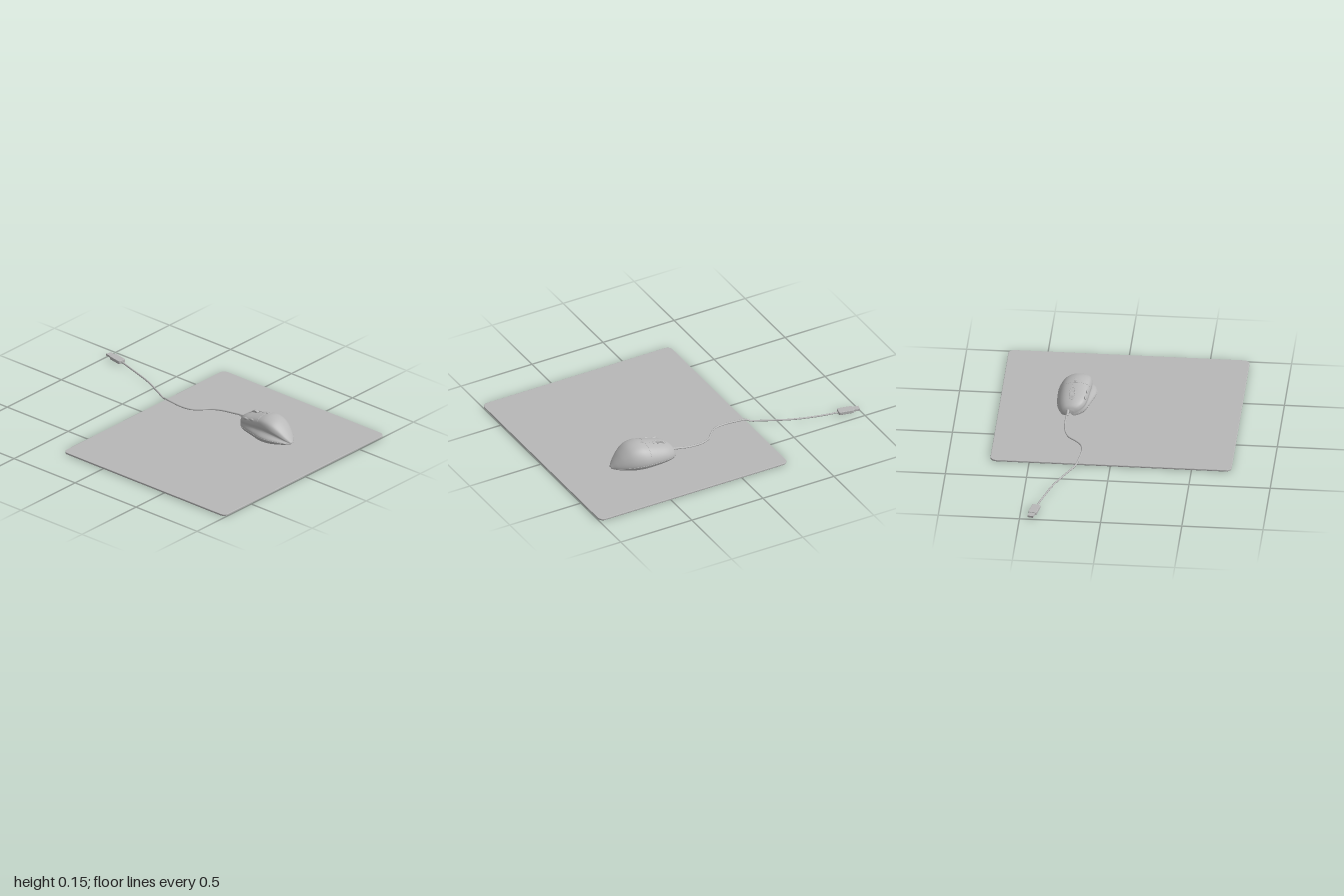
import * as THREE from 'three';

const V = (x, y, z) => new THREE.Vector3(x, y, z);
const PAD = 0.012; // height of the pad's upper face

// Mouse stations from nose to tail: z, waist x, thumb-flare x, outer x, height
const STATIONS = [
  [0.240, 0.275, 0.275, 0.325, 0.050],
  [0.250, 0.250, 0.250, 0.350, 0.070],
  [0.275, 0.222, 0.220, 0.368, 0.090],
  [0.310, 0.206, 0.200, 0.380, 0.106],
  [0.360, 0.197, 0.185, 0.387, 0.120],
  [0.420, 0.190, 0.168, 0.390, 0.136],
  [0.480, 0.183, 0.154, 0.388, 0.147],
  [0.540, 0.186, 0.159, 0.372, 0.136],
  [0.590, 0.203, 0.184, 0.345, 0.102],
  [0.630, 0.226, 0.216, 0.312, 0.060],
  [0.657, 0.250, 0.250, 0.278, 0.026],
];

// Cross-section curve of the shell, from lower left over the top to lower right
function sectionCurve(z) {
  let i = 0;
  while (i < STATIONS.length - 2 && z > STATIONS[i + 1][0]) i++;
  const a = STATIONS[i], b = STATIONS[i + 1];
  const p = STATIONS[Math.max(i - 1, 0)], n = STATIONS[Math.min(i + 2, STATIONS.length - 1)];
  const dz = b[0] - a[0], t = (z - a[0]) / dz;
  const [xw, xf, xr, h] = [1, 2, 3, 4].map((k) => {
    const m0 = (b[k] - p[k]) / (b[0] - p[0]) * dz, m1 = (n[k] - a[k]) / (n[0] - a[0]) * dz;
    const t2 = t * t, t3 = t2 * t;
    return (2 * t3 - 3 * t2 + 1) * a[k] + (t3 - 2 * t2 + t) * m0 + (3 * t2 - 2 * t3) * b[k] + (t3 - t2) * m1;
  });
  const y0 = PAD + 0.001, H = h - y0, w = xr - xw;
  const pts = [
    [xf + 0.05 * w, 0], [xf, 0.21], [xw + 0.005 * w, 0.44], [xw, 0.64], [xw + 0.07 * w, 0.87],
    [xw + 0.26 * w, 0.99], [xw + 0.52 * w, 1], [xw + 0.78 * w, 0.85], [xr - 0.05 * w, 0.52],
    [xr, 0.2], [xr - 0.05 * w, 0],
  ];
  return new THREE.CatmullRomCurve3(pts.map(([x, f]) => V(x, y0 + f * H, z)));
}
const onShell = (u, z) => sectionCurve(z).getPoint(u);

// Smooth surface through equal-length rows of points
function loft(rows) {
  const n = rows[0].length, index = [];
  for (let r = 0; r < rows.length - 1; r++) {
    for (let c = 0; c < n - 1; c++) {
      const a = r * n + c, b = a + n;
      index.push(a, b, a + 1, a + 1, b, b + 1);
    }
  }
  const g = new THREE.BufferGeometry().setFromPoints(rows.flat());
  g.setIndex(index);
  g.computeVertexNormals();
  return g;
}

function roundedRect(w, h, r) {
  const s = new THREE.Shape(), x = w / 2, y = h / 2;
  s.absarc(x - r, y - r, r, 0, Math.PI / 2);
  s.absarc(-x + r, y - r, r, Math.PI / 2, Math.PI);
  s.absarc(-x + r, -y + r, r, Math.PI, Math.PI * 1.5);
  s.absarc(x - r, -y + r, r, Math.PI * 1.5, Math.PI * 2);
  s.closePath();
  return s;
}

// Rounded slab lying flat with its underside at y = 0
function slab(w, d, h, r, bevel) {
  const g = new THREE.ExtrudeGeometry(roundedRect(w - 2 * bevel, d - 2 * bevel, r), {
    depth: h - 2 * bevel, bevelThickness: bevel, bevelSize: bevel, bevelSegments: 2, curveSegments: 8,
  });
  return g.rotateX(-Math.PI / 2).translate(0, bevel, 0);
}

export function createModel() {
  const model = new THREE.Group();
  const grey = new THREE.MeshStandardMaterial({ color: 0xb8b8b8 });
  grey.name = 'grey';
  const add = (name, geometry, parent = model) => {
    const m = new THREE.Mesh(geometry, grey);
    m.name = name;
    parent.add(m);
    return m;
  };
  const tube = (name, pts, radius, segments, parent) =>
    add(name, new THREE.TubeGeometry(new THREE.CatmullRomCurve3(pts), segments, radius, 8), parent);

  // Mouse pad
  add('mousePad', slab(1.485, 1.325, PAD, 0.035, 0.003)).position.set(-0.002, 0, 0.3355);

  // Mouse shell, closed at nose and tail, with a flat underside
  const mouse = new THREE.Group();
  mouse.name = 'mouse';
  model.add(mouse);
  const rows = [], z0 = 0.24, z1 = 0.657;
  for (let i = 0; i <= 48; i++) {
    const z = z0 + (z1 - z0) * (0.5 - 0.5 * Math.cos(Math.PI * i / 48));
    rows.push(sectionCurve(z).getPoints(50));
  }
  const underside = rows.map((r) => [r[50], r[0]]);
  const endRow = (row, dz) => {
    const c = V(0, 0, 0);
    row.forEach((p) => c.addScaledVector(p, 1 / row.length));
    return row.map(() => V(c.x, c.y, c.z + dz));
  };
  rows.unshift(endRow(rows[0], -0.003));
  rows.push(endRow(rows[rows.length - 1], 0.003));
  add('shell', loft(rows), mouse);
  add('underside', loft(underside), mouse);

  // Fine seams: across the back of the buttons, between them, and round the skirt
  const steps = (n, f) => Array.from({ length: n + 1 }, (_, i) => f(i / n));
  tube('buttonSeam', steps(16, (t) => onShell(0.36 + 0.44 * t, 0.43)), 0.0012, 40, mouse);
  tube('middleSeam', steps(8, (t) => onShell(0.6, 0.385 + 0.045 * t)), 0.0012, 12, mouse);
  for (const [name, u] of [['thumbSeam', 0.09], ['outerSeam', 0.91]]) {
    tube(name, steps(20, (t) => onShell(u, 0.25 + 0.39 * t)), 0.0012, 50, mouse);
  }

  // Scroll wheel in its oval surround
  const wheel = add('scrollWheel', new THREE.CylinderGeometry(0.035, 0.035, 0.017, 32), mouse);
  wheel.rotation.z = Math.PI / 2;
  wheel.position.set(0.292, 0.09, 0.336);
  const ring = steps(24, (t) => {
    const a = t * Math.PI * 2, z = 0.336 + 0.048 * Math.sin(a);
    return V(0.292 + 0.017 * Math.cos(a), onShell(0.56, z).y, z);
  });
  tube('wheelSurround', ring, 0.002, 60, mouse);
  const small = add('modeButton', slab(0.014, 0.026, 0.006, 0.004, 0.001), mouse);
  small.position.copy(onShell(0.58, 0.45)).y -= 0.004;

  // Side buttons above the thumb rest
  for (const z of [0.325, 0.38]) {
    const b = add('sideButton', new THREE.SphereGeometry(1, 16, 10), mouse);
    b.scale.set(0.007, 0.009, 0.02);
    b.position.copy(onShell(0.38, z));
  }

  // Strain relief and cable, dropping off the back of the pad
  const relief = add('strainRelief', new THREE.CylinderGeometry(0.006, 0.009, 0.055, 16));
  relief.rotation.x = -Math.PI / 2 - 0.2;
  relief.position.set(0.31, 0.043, 0.225);
  tube('cable', [
    V(0.305, 0.046, 0.25), V(0.314, 0.038, 0.19), V(0.317, 0.029, 0.13), V(0.308, 0.021, 0.04),
    V(0.283, 0.018, -0.02), V(0.232, 0.018, -0.07), V(0.198, 0.018, -0.115), V(0.187, 0.018, -0.18),
    V(0.195, 0.018, -0.27), V(0.205, 0.017, -0.33), V(0.216, 0.007, -0.352), V(0.25, 0.006, -0.42),
    V(0.325, 0.006, -0.58), V(0.37, 0.007, -0.72), V(0.405, 0.013, -0.855), V(0.408, 0.015, -0.875),
  ], 0.0055, 160);

  // Plug
  const plug = new THREE.Group();
  plug.name = 'plug';
  plug.position.set(0.416, 0, -0.91);
  plug.rotation.y = -0.2;
  model.add(plug);
  add('plugBody', slab(0.053, 0.098, 0.021, 0.008, 0.003), plug).position.y = 0.006;
  add('plugTip', new THREE.BoxGeometry(0.037, 0.012, 0.045), plug).position.set(0, 0.0165, -0.066);
  return model;
}
